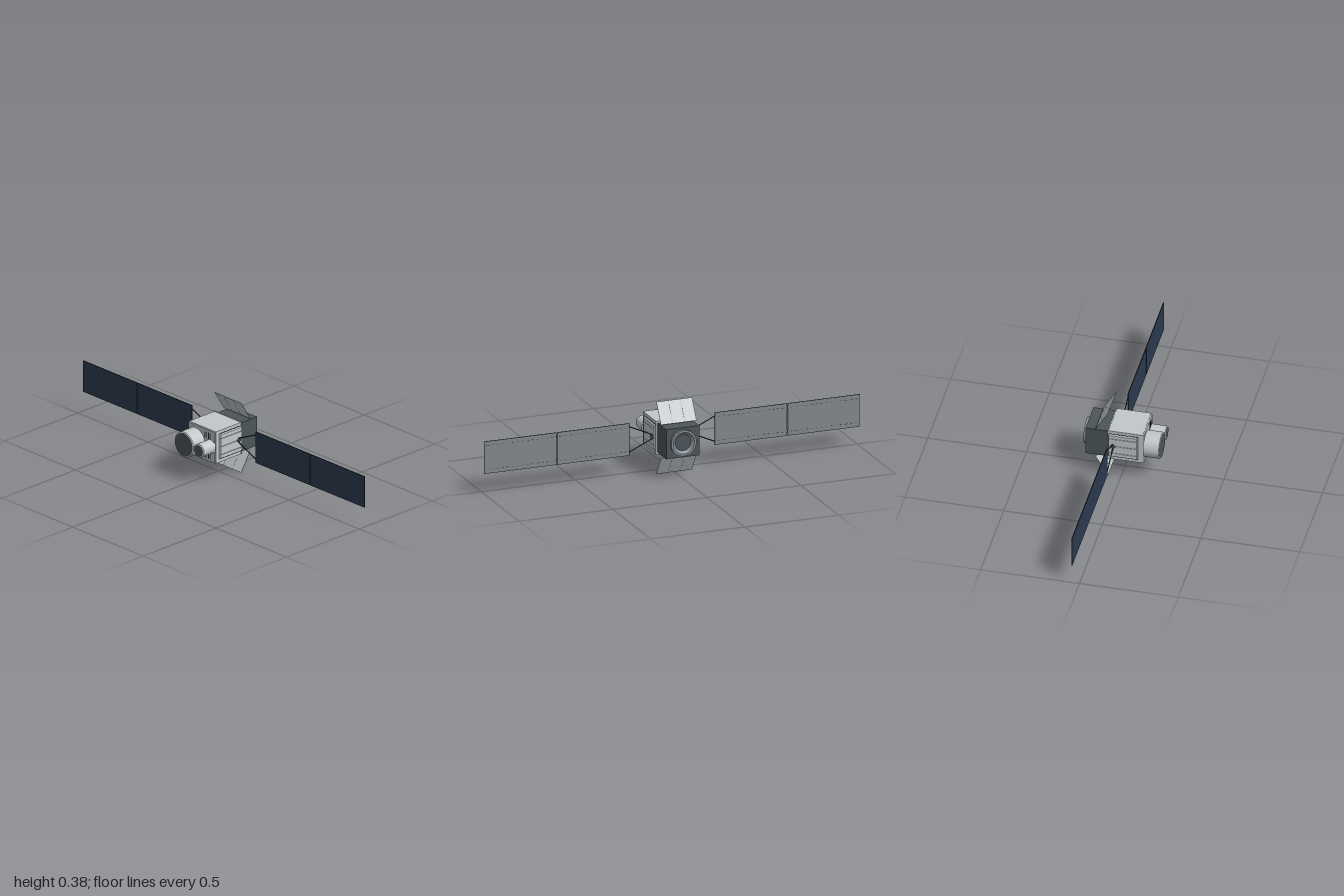
import * as THREE from 'three';

const mat = (name, color) => Object.assign(new THREE.MeshStandardMaterial({ color }), { name });

export function createModel() {
  const hull = mat('light grey hull', 0xc2c7ca);
  const dark = mat('dark grey', 0x4c5558);
  const black = mat('near black trim', 0x23282b);
  const cells = mat('navy solar cells', 0x2c3b51);
  const backing = mat('grey panel backing', 0x83888e);
  const metal = mat('nozzle grey', 0x858c95);

  const model = new THREE.Group();
  model.name = 'satellite';
  const CY = 0.19, PZ = -0.038; // body axis height, solar wing plane

  const add = (name, geo, material, x = 0, y = 0, z = 0, parent = model) => {
    const m = new THREE.Mesh(geo, material);
    m.name = name;
    m.position.set(x, y, z);
    parent.add(m);
    return m;
  };
  const box = (name, w, h, d, material, x, y, z, parent) =>
    add(name, new THREE.BoxGeometry(w, h, d), material, x, y, z, parent);
  // Revolved profile of [radius, z] points around the z axis
  const lathe = (name, pts, material, x, y) => {
    const geo = new THREE.LatheGeometry(pts.map(p => new THREE.Vector2(p[0], p[1])), 40);
    geo.rotateX(Math.PI / 2);
    material.side = THREE.DoubleSide;
    // separate segments keep the rims sharp
    return add(name, geo, material, x, y, 0);
  };
  const rod = (name, a, b, r, material, parent) => {
    const d = b.clone().sub(a);
    const m = add(name, new THREE.CylinderGeometry(r, r, d.length(), 8), material, 0, 0, 0, parent);
    m.position.copy(a).add(b).multiplyScalar(0.5);
    m.quaternion.setFromUnitVectors(new THREE.Vector3(0, 1, 0), d.normalize());
    return m;
  };

  // Main bus
  box('body', 0.19, 0.17, 0.175, hull, 0, CY, 0.0225);
  box('frontPlate', 0.184, 0.165, 0.008, hull, 0, CY, 0.113);
  box('rearFlange', 0.194, 0.174, 0.005, hull, 0, CY, -0.0655);
  box('rearModule', 0.176, 0.154, 0.113, dark, 0, CY, -0.1245);

  // Bevelled slats on both flanks, with dark grooves between
  for (const s of [-1, 1]) {
    box('grooveBacking', 0.003, 0.138, 0.148, black, s * 0.0955, CY, 0.012);
    const edges = [0.12, 0.147, 0.19, 0.233, 0.26];
    for (let i = 0; i < 4; i++) {
      const h = edges[i + 1] - edges[i] - 0.002;
      const geo = new THREE.BoxGeometry(0.01, h, 0.152);
      const p = geo.attributes.position;
      for (let k = 0; k < p.count; k++) {
        if (p.getX(k) * s < 0) continue;
        p.setZ(k, p.getZ(k) * 0.93);
        if (i === 0 && p.getY(k) < 0) p.setY(k, p.getY(k) + 0.006);
        if (i === 3 && p.getY(k) > 0) p.setY(k, p.getY(k) - 0.006);
      }
      geo.computeVertexNormals();
      add('sideSlat', geo, hull, s * 0.099, (edges[i] + edges[i + 1]) / 2, 0.011);
    }
  }

  // Slits on the front plate beside the instruments
  for (let i = 0; i < 4; i++) {
    for (const s of [-1, 1]) box('frontSlit', 0.004, 0.032, 0.002, black, 0.027 + i * 0.012, CY + s * 0.053, 0.1175);
  }

  // Front instruments: open barrels with dark recessed faces
  for (const [name, x, r] of [['largeInstrument', -0.042, 0.067], ['smallInstrument', 0.064, 0.035]]) {
    lathe(name + 'Barrel', [[r, 0.115], [r, 0.194]], hull, x, CY);
    lathe(name + 'Rim', [[r, 0.194], [r - 0.003, 0.197], [r - 0.006, 0.197]], hull, x, CY);
    add(name + 'Face', new THREE.CircleGeometry(r - 0.003, 40), dark, x, CY, 0.1965);
    lathe(name + 'Collar', [[r + 0.001, 0.117], [r + 0.001, 0.122]], hull, x, CY);
  }

  // Rear nozzle ring with a recessed centre
  lathe('nozzleWall', [[0.067, -0.18], [0.067, -0.196]], metal, 0, CY);
  lathe('nozzleRim', [[0.067, -0.196], [0.056, -0.196]], metal, 0, CY);
  lathe('nozzleCone', [[0.056, -0.196], [0.042, -0.184]], metal, 0, CY);
  const floor = add('nozzleFloor', new THREE.CircleGeometry(0.043, 40), dark, 0, CY, -0.1835);
  floor.rotation.y = Math.PI;

  // Tilted radiator flaps above and below the rear module
  for (const s of [-1, 1]) {
    const flap = new THREE.Group();
    flap.name = s > 0 ? 'upperFlap' : 'lowerFlap';
    flap.position.set(0, CY + s * 0.1365, -0.0965);
    flap.rotation.x = s * 0.553;
    model.add(flap);
    for (let i = -1; i <= 1; i++) box('flapPanel', 0.0625, 0.119, 0.002, hull, i * 0.0637, 0, 0, flap);
    box('flapSeam', 0.188, 0.117, 0.001, dark, 0, 0, 0, flap);
  }

  // Solar wings
  for (const s of [-1, 1]) {
    const wing = new THREE.Group();
    wing.name = s > 0 ? 'leftWing' : 'rightWing';
    model.add(wing);
    const hub = add('wingHub', new THREE.CylinderGeometry(0.008, 0.013, 0.014, 8), dark, s * 0.106, CY, PZ, wing);
    hub.rotation.z = -s * Math.PI / 2;
    for (const v of [-1, 1]) {
      rod('wingStrut', new THREE.Vector3(s * 0.104, CY + v * 0.01, PZ),
        new THREE.Vector3(s * 0.232, CY + v * 0.068, PZ), 0.0026, black, wing);
      box('panelHinge', 0.012, 0.008, 0.003, black, s * 0.614, CY + v * 0.06, PZ, wing);
    }
    for (const x of [0.4195, 0.8075]) {
      const w = 0.385;
      box('panelCore', w, 0.168, 0.003, black, s * x, CY, PZ, wing);
      box('panelCells', w - 0.003, 0.165, 0.001, cells, s * x, CY, PZ + 0.0018, wing);
      box('panelBack', w - 0.003, 0.165, 0.001, backing, s * x, CY, PZ - 0.0018, wing);
      // Dashed wiring lines along the back
      for (let i = 0; i < 14; i++) {
        for (const v of [-1, 1])
          box('wiringDash', 0.013, 0.002, 0.0006, dark, s * (x + (i - 6.5) * 0.0265), CY + v * 0.062, PZ - 0.0025, wing);
      }
    }
  }
  return model;
}
